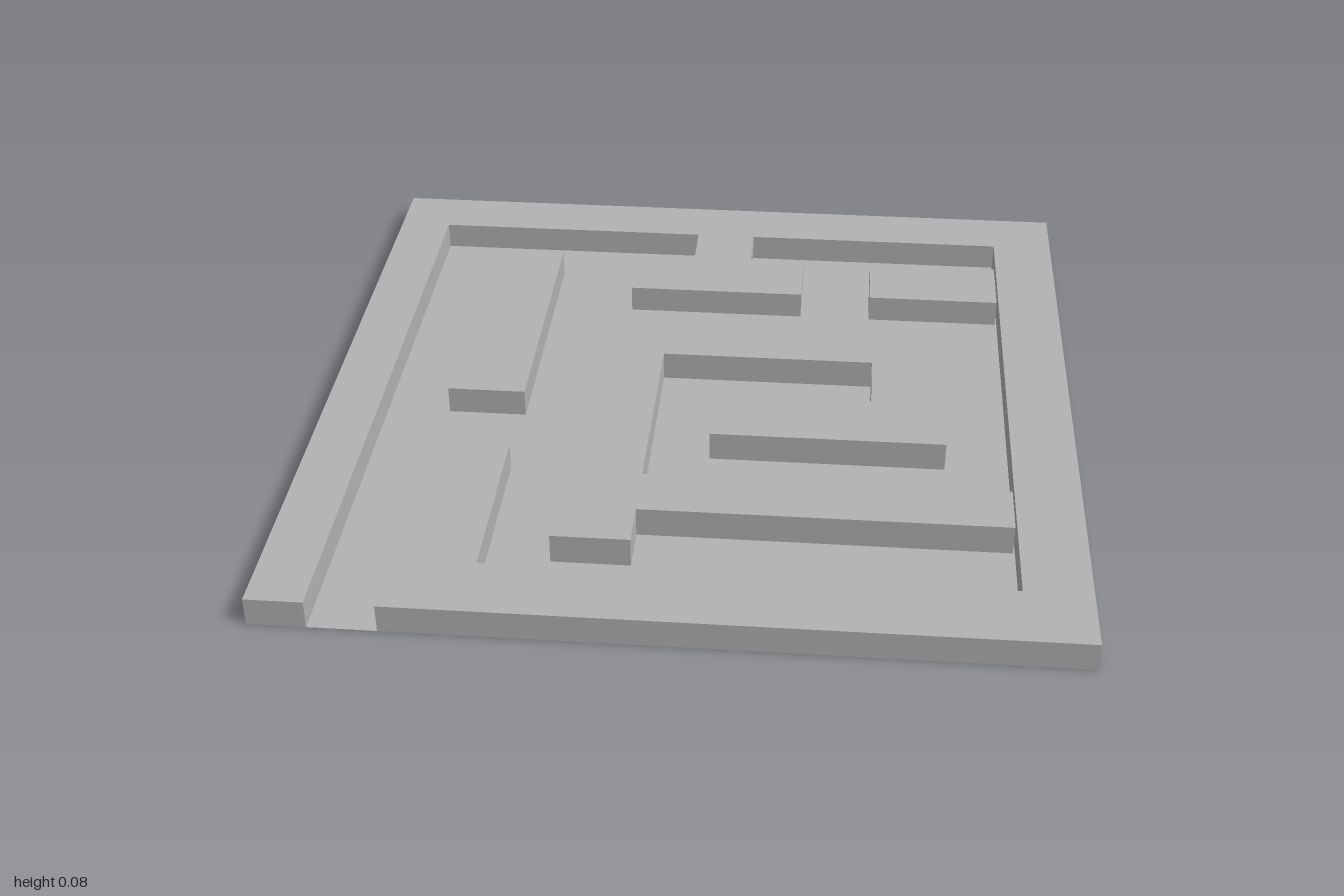
import * as THREE from 'three';

const WALL = 0.075;
const RAISED = 0.08;

// Extrudes a floor-plan outline of [x, z] points upwards from y = 0.
function wall(name, plan, height, material) {
  const shape = new THREE.Shape(plan.map(([x, z]) => new THREE.Vector2(x, -z)));
  const geometry = new THREE.ExtrudeGeometry(shape, { depth: height, bevelEnabled: false });
  geometry.rotateX(-Math.PI / 2);
  const mesh = new THREE.Mesh(geometry, material);
  mesh.name = name;
  return mesh;
}

const rect = (x0, z0, x1, z1) => [[x0, z0], [x0, z1], [x1, z1], [x1, z0]];

export function createModel() {
  const group = new THREE.Group();
  group.name = 'maze';
  const stone = new THREE.MeshStandardMaterial({ color: 0xb2b2b2 });
  stone.name = 'grey stone';
  const floorStone = new THREE.MeshStandardMaterial({ color: 0xb2b2b2, side: THREE.DoubleSide });
  floorStone.name = 'grey floor';

  // Paper-thin floor under the whole maze
  const floor = new THREE.Mesh(new THREE.PlaneGeometry(2, 2).rotateX(-Math.PI / 2), floorStone);
  floor.name = 'floor';
  group.add(floor);

  // Border with the entrance at the front, the T-shaped back stub and the entrance pier
  group.add(wall('outerWall', [
    [-1, 1], [-0.855, 1], [-0.855, -0.835], [-0.075, -0.835], [-0.075, -0.695],
    [-0.245, -0.695], [-0.245, -0.5], [0.255, -0.5], [0.255, -0.695], [0.095, -0.695],
    [0.095, -0.835], [0.83, -0.835], [0.83, 0.82], [-0.475, 0.82], [-0.475, 0.325],
    [-0.685, 0.325], [-0.685, 1], [1, 1], [1, -1], [-1, -1],
  ], WALL, stone));

  // Spiral in the middle, with its long arm towards the side wall
  group.add(wall('spiralWall', [
    [-0.315, -0.328], [0.663, -0.328], [0.663, 0.24], [0.043, 0.24], [0.043, 0.052],
    [0.465, 0.052], [0.465, -0.14], [-0.115, -0.14], [-0.115, 0.432], [0.825, 0.432],
    [0.825, 0.582], [-0.115, 0.582], [-0.115, 0.707], [-0.315, 0.707],
  ], RAISED, stone));

  // Free-standing blocks
  group.add(wall('longBlock', rect(-0.685, -0.695, -0.475, 0.075), WALL, stone));
  group.add(wall('cornerBlock', rect(0.455, -0.695, 0.825, -0.5), WALL, stone));

  return group;
}
